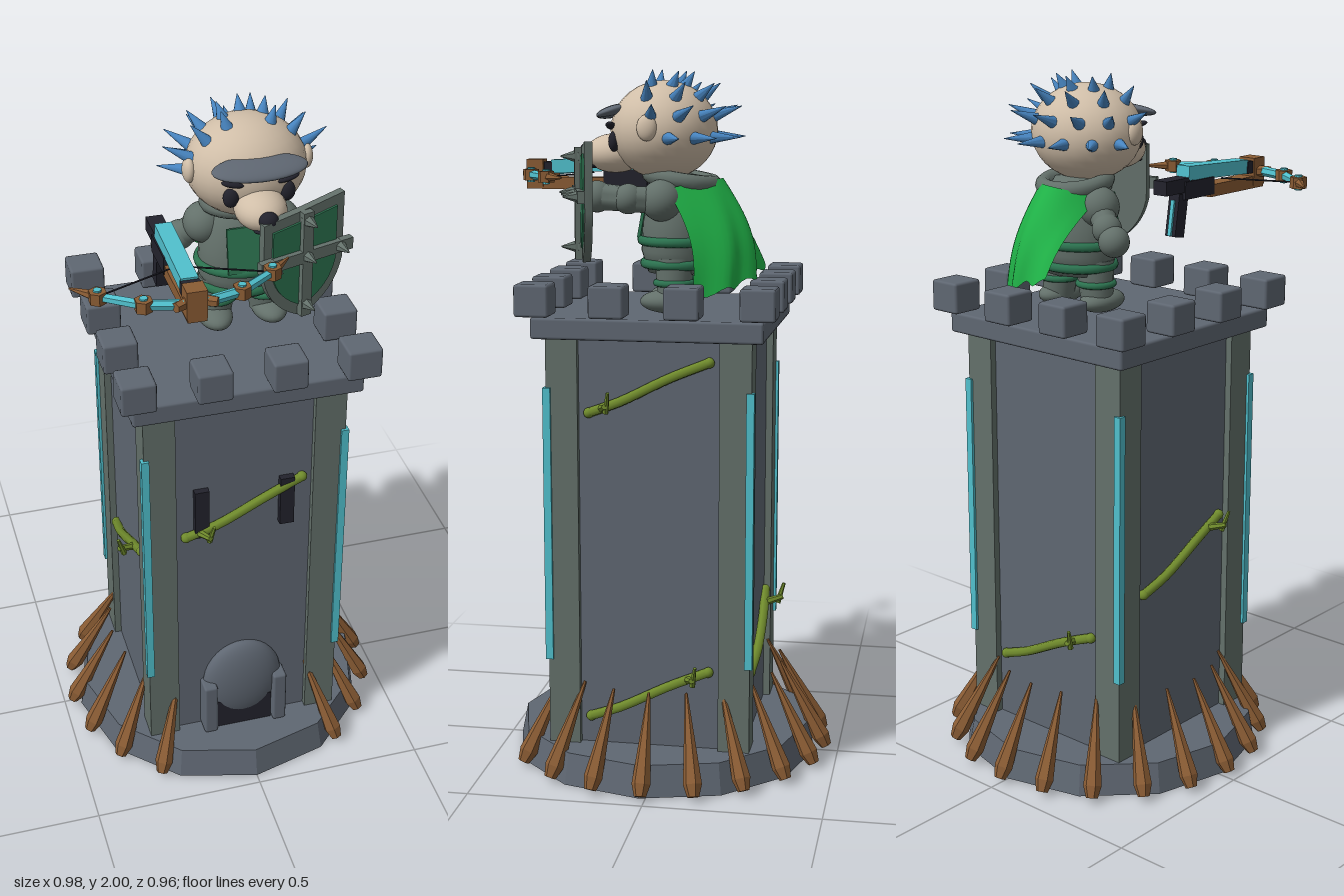
import * as THREE from 'three';
import { toCreasedNormals } from 'three/addons/utils/BufferGeometryUtils.js';
import { RoundedBoxGeometry } from 'three/addons/geometries/RoundedBoxGeometry.js';

const paint = (name, color, side = THREE.FrontSide) => {
  const m = new THREE.MeshStandardMaterial({ color, side });
  m.name = name;
  return m;
};
const V = (x, y, z) => new THREE.Vector3(x, y, z);
const flat = (g, angle = 0.3) => toCreasedNormals(g, angle);

export function createModel() {
  const stone = paint('stone', 0x5f6772), armour = paint('greenGrey', 0x63706a);
  const cyan = paint('cyan', 0x50c0cd), wood = paint('wood', 0x8a5c34);
  const moss = paint('vineGreen', 0x6f8a2c), dark = paint('nearBlack', 0x22222c);
  const skin = paint('skin', 0xd0bea8), blue = paint('quillBlue', 0x4784bf);
  const cloth = paint('capeGreen', 0x20b348, THREE.DoubleSide), trim = paint('darkGreen', 0x2c7350);
  const model = new THREE.Group();

  const add = (name, geo, mat, p = [0, 0, 0], r = [0, 0, 0], s = [1, 1, 1], parent = model) => {
    const m = new THREE.Mesh(geo, mat);
    m.name = name;
    m.position.set(...p); m.rotation.set(...r); m.scale.set(...s);
    parent.add(m);
    return m;
  };
  const group = (name, p, ry = 0) => {
    const g = new THREE.Group();
    g.name = name;
    g.position.set(...p); g.rotation.y = ry;
    model.add(g);
    return g;
  };
  const box = (name, mat, size, p, r, parent) =>
    add(name, new THREE.BoxGeometry(...size), mat, p, r, [1, 1, 1], parent);
  const ball = (name, mat, radii, p, r, parent) =>
    add(name, new THREE.SphereGeometry(1, 28, 18), mat, p, r, radii, parent);
  // Tapered rod from a to b
  const rod = (name, mat, a, b, ra, rb, sides = 10, parent = model) => {
    const d = b.clone().sub(a);
    const m = add(name, flat(new THREE.CylinderGeometry(rb, ra, d.length(), sides), sides > 8 ? 0.9 : 0.3), mat,
      a.clone().add(b).multiplyScalar(0.5).toArray(), undefined, undefined, parent);
    m.quaternion.setFromUnitVectors(V(0, 1, 0), d.normalize());
    return m;
  };

  // Tower base, walls and roof slab
  const cz = 0.02;
  add('base', flat(new THREE.CylinderGeometry(0.432, 0.45, 0.09, 12)), stone, [0, 0.045, cz]);
  box('walls', stone, [0.54, 1.19, 0.54], [0, 0.68, cz]);
  add('roofSlab', new RoundedBoxGeometry(0.65, 0.06, 0.65, 1, 0.008), stone, [0, 1.3, cz]);
  for (const sx of [-1, 1]) for (const sz of [-1, 1]) {
    box('cornerPillar', armour, [0.09, 1.18, 0.09], [sx * 0.245, 0.68, cz + sz * 0.245]);
    box('lightStrip', cyan, [0.022, 0.79, 0.022], [sx * 0.287, 0.735, cz + sz * 0.287]);
  }
  for (let i = 0; i < 4; i++) for (let j = 0; j < 4; j++) {
    if (i % 3 && j % 3) continue;
    add('merlon', new RoundedBoxGeometry(0.098, 0.09, 0.098, 1, 0.008), stone,
      [(i - 1.5) * 0.208, 1.38, cz + (j - 1.5) * 0.208]);
  }

  // Doorway and arrow slits
  ball('doorHood', stone, [0.122, 0.145, 0.045], [0, 0.25, 0.295]);
  box('doorOpening', dark, [0.17, 0.1, 0.07], [0, 0.14, 0.29]);
  for (const s of [-1, 1]) {
    add('doorPost', new RoundedBoxGeometry(0.042, 0.18, 0.07, 1, 0.008), stone, [s * 0.108, 0.18, 0.31]);
    box('arrowSlit', dark, [0.042, 0.16, 0.03], [s * 0.125, 0.91, 0.295]);
  }

  // Stakes around the base, with a gap for the door
  const stakeShape = flat(new THREE.LatheGeometry([[0, 0], [0.017, 0], [0.027, 0.035], [0.004, 0.29], [0, 0.29]]
    .map(([x, y]) => new THREE.Vector2(x, y)), 6));
  for (let i = -8; i <= 8; i++) {
    const a = i * Math.PI / 10, d = V(Math.sin(a), 0, -Math.cos(a));
    const m = add('stake', stakeShape, wood, [d.x * 0.475, 0.016, d.z * 0.475 + 0.01]);
    m.quaternion.setFromUnitVectors(V(0, 1, 0), V(-d.x * 0.135, 0.25, -d.z * 0.135).normalize());
  }

  // Vines: face angle, height of lower end, place of twig
  for (const [face, y, k] of [[0, 0.83, -1], [1, 1.06, -1], [1, 0.17, 1], [2, 0.29, 1], [-1, 0.57, 1]]) {
    const g = group('vine', [0, y, cz], face * Math.PI / 2);
    const path = new THREE.CatmullRomCurve3(
      [V(-0.17, 0, 0.277), V(-0.08, 0.035, 0.285), V(0.06, 0.105, 0.285), V(0.17, 0.15, 0.277)]);
    add('stem', new THREE.TubeGeometry(path, 12, 0.014, 7), moss, undefined, undefined, undefined, g);
    for (const [t, s] of [[0, -1], [1, 1]]) ball('stemEnd', moss, [0.015, 0.015, 0.015], path.getPoint(t).toArray(), undefined, g);
    const q = path.getPoint(k < 0 ? 0.14 : 0.82);
    rod('twig', moss, q, V(q.x + 0.02, q.y + 0.015, 0.335), 0.012, 0.008, 6, g);
    rod('twigFork', moss, V(q.x + 0.02, q.y - 0.005, 0.32), V(q.x + 0.03, q.y + 0.055, 0.338), 0.009, 0.005, 6, g);
  }

  // Guard: legs, torso and belts
  const gx = 0.08, gz = -0.03;
  for (const s of [-1, 1]) {
    rod('leg', armour, V(gx + s * 0.075, 1.36, gz), V(gx + s * 0.065, 1.48, gz), 0.046, 0.056, 16);
    ball('boot', armour, [0.05, 0.033, 0.08], [gx + s * 0.08, 1.363, gz + 0.015]);
    add('kneeBand', new THREE.TorusGeometry(0.05, 0.01, 8, 20), trim, [gx + s * 0.07, 1.415, gz], [Math.PI / 2, 0, 0]);
  }
  add('torso', new THREE.LatheGeometry([[0, 1.43], [0.1, 1.44], [0.122, 1.5], [0.118, 1.58], [0.1, 1.65], [0.07, 1.71], [0, 1.72]]
    .map(([x, y]) => new THREE.Vector2(x, y)), 28), armour, [gx, 0, gz], [0, 0, 0], [1, 1, 0.85]);
  for (const [y, r] of [[1.465, 0.113], [1.53, 0.122]])
    add('belt', new THREE.TorusGeometry(r, 0.011, 8, 32), trim, [gx, y, gz], [Math.PI / 2, 0, 0], [1, 0.87, 1.2]);
  box('tabard', trim, [0.11, 0.13, 0.009], [gx - 0.01, 1.6, 0.065], [-0.18, 0, 0]);
  add('collar', new THREE.TorusGeometry(0.09, 0.024, 10, 28), armour, [gx, 1.7, gz - 0.01], [Math.PI / 2 - 0.15, 0, 0]);

  // Arms
  const arm = (a, b, c) => {
    ball('pauldron', armour, [0.058, 0.058, 0.058], a.toArray());
    rod('upperArm', armour, a, b, 0.038, 0.036, 14);
    ball('elbow', armour, [0.042, 0.042, 0.042], b.toArray());
    rod('forearm', armour, b, c, 0.034, 0.038, 14);
    ball('gauntlet', armour, [0.044, 0.044, 0.044], c.toArray());
  };
  arm(V(-0.02, 1.64, -0.05), V(-0.08, 1.59, -0.085), V(-0.115, 1.56, -0.095));
  arm(V(0.18, 1.645, 0.0), V(0.2, 1.65, 0.09), V(0.19, 1.655, 0.18));

  // Head and face
  const hc = V(0.08, 1.835, 0.01), hr = V(0.165, 0.137, 0.15);
  ball('head', skin, hr.toArray(), hc.toArray());
  ball('muzzle', skin, [0.07, 0.055, 0.085], [0.08, 1.77, 0.15]);
  ball('nose', dark, [0.026, 0.024, 0.022], [0.078, 1.775, 0.232]);
  ball('mouth', dark, [0.035, 0.008, 0.02], [0.08, 1.735, 0.208]);
  ball('brim', stone, [0.13, 0.017, 0.05], [0.077, 1.887, 0.15], [0.3, 0, 0]);
  for (const s of [-1, 1]) {
    ball('eye', dark, [0.022, 0.028, 0.016], [0.08 + s * 0.077, 1.805, 0.138]);
    ball('eyebrow', dark, [0.032, 0.009, 0.014], [0.08 + s * 0.075, 1.848, 0.147], [0, 0, s * 0.25]);
    ball('ear', skin, [0.018, 0.036, 0.028], [0.08 + s * 0.162, 1.845, 0.03]);
  }
  // Quills in rows: elevation, count, spread, length (degrees)
  for (const [el, n, spread, len] of [[66, 5, 115, 0.048], [42, 6, 105, 0.065], [17, 7, 95, 0.085], [-8, 6, 75, 0.085]]) {
    for (let i = 0; i < n; i++) {
      const a = THREE.MathUtils.degToRad((i / (n - 1) * 2 - 1) * spread), e = THREE.MathUtils.degToRad(el);
      const d = V(Math.sin(a) * Math.cos(e), Math.sin(e), -Math.cos(a) * Math.cos(e));
      const root = d.clone().multiply(hr).multiplyScalar(0.96).add(hc);
      const tip = d.add(V(0, 0.15, -0.3)).normalize().multiplyScalar(len).add(root);
      rod('quill', blue, root, tip, 0.018, 0.001, 10);
    }
  }

  // Cape: a sheet spanned between the shoulder curve and the hem
  const top = new THREE.QuadraticBezierCurve3(V(-0.03, 1.67, -0.06), V(0.07, 1.73, -0.27), V(0.21, 1.68, -0.02));
  const hem = new THREE.QuadraticBezierCurve3(V(-0.01, 1.46, -0.26), V(0.16, 1.42, -0.29), V(0.265, 1.385, -0.1));
  const cape = new THREE.PlaneGeometry(1, 1, 24, 12), cp = cape.attributes.position;
  for (let i = 0; i < cp.count; i++) {
    const u = cp.getX(i) + 0.5, v = 0.5 - cp.getY(i);
    const p = top.getPoint(u).lerp(hem.getPoint(u), v);
    p.z -= 0.03 * Math.sin(v * Math.PI) + 0.008 * v * Math.sin(u * 19);
    p.y += 0.008 * v * Math.cos(u * 25);
    cp.setXYZ(i, p.x, p.y, p.z);
  }
  cape.computeVertexNormals();
  add('cape', cape, cloth);

  // Shield: plate, green field, rim cross and studs
  const shield = group('shield', [0.175, 1.645, 0.215], 0.28);
  const outline = k => {
    const s = new THREE.Shape();
    s.moveTo(-0.125 * k, 0.13 * k);
    s.lineTo(0, 0.145 * k);
    s.lineTo(0.125 * k, 0.165 * k);
    s.lineTo(0.125 * k, -0.03 * k);
    s.quadraticCurveTo(0.105 * k, -0.13 * k, 0, -0.175 * k);
    s.quadraticCurveTo(-0.105 * k, -0.13 * k, -0.125 * k, -0.03 * k);
    return s;
  };
  const plate = (name, k, depth, mat, z) =>
    add(name, flat(new THREE.ExtrudeGeometry(outline(k), { depth, bevelEnabled: false, curveSegments: 8 })), mat, [0, 0, z], undefined, undefined, shield);
  plate('shieldPlate', 1, 0.022, armour, -0.011);
  plate('shieldField', 0.8, 0.006, trim, 0.011);
  box('shieldBarUp', armour, [0.032, 0.31, 0.02], [0, -0.01, 0.022], undefined, shield);
  box('shieldBarAcross', armour, [0.29, 0.034, 0.02], [0, 0.015, 0.022], undefined, shield);
  for (const [x, y] of [[-0.105, 0.015], [0, 0.015], [0.105, 0.015], [0, 0.12], [0, -0.13]])
    rod('shieldStud', armour, V(x, y, 0.02), V(x, y, 0.07), 0.02, 0.002, 6, shield);

  // Crossbow stock
  const bx = -0.178, by = 1.7;
  box('rail', cyan, [0.046, 0.04, 0.27], [bx, by + 0.025, 0.26], [0.05, 0, 0]);
  box('stock', wood, [0.05, 0.035, 0.25], [bx, 1.67, 0.345]);
  box('railCap', dark, [0.05, 0.035, 0.025], [bx, by + 0.015, 0.405]);
  box('receiver', dark, [0.054, 0.05, 0.13], [bx, 1.685, 0.17]);
  box('butt', dark, [0.046, 0.04, 0.11], [bx, by, 0.08]);
  box('grip', dark, [0.036, 0.12, 0.04], [bx, 1.615, 0.1], [0.15, 0, 0]);
  box('gripEdge', cyan, [0.012, 0.1, 0.008], [bx, 1.61, 0.077], [0.15, 0, 0]);
  box('bowMount', wood, [0.054, 0.08, 0.05], [bx, by, 0.445]);
  // Bow limbs and string
  for (const s of [-1, 1]) {
    const at = (x, z) => V(bx + s * x, by, z);
    const pts = [at(0.03, 0.455), at(0.127, 0.43), at(0.228, 0.36), at(0.288, 0.302)];
    rod('limbInner', wood, at(0.02, 0.445), at(0.055, 0.465), 0.017, 0.014, 6);
    rod('limbMiddle', cyan, pts[0], pts[1], 0.014, 0.014, 6);
    rod('limbOuter', cyan, pts[1], pts[2], 0.014, 0.012, 6);
    rod('limbTip', wood, pts[2], pts[3], 0.016, 0.003, 6);
    for (const p of [pts[1], pts[2]]) {
      add('limbJoint', flat(new THREE.CylinderGeometry(0.024, 0.024, 0.032, 6)), wood, p.toArray());
      add('limbGem', flat(new THREE.CylinderGeometry(0.011, 0.011, 0.042, 8)), cyan, p.toArray());
    }
    rod('string', dark, pts[2], at(0.02, 0.275), 0.0025, 0.0025, 5);
  }
  return model;
}
